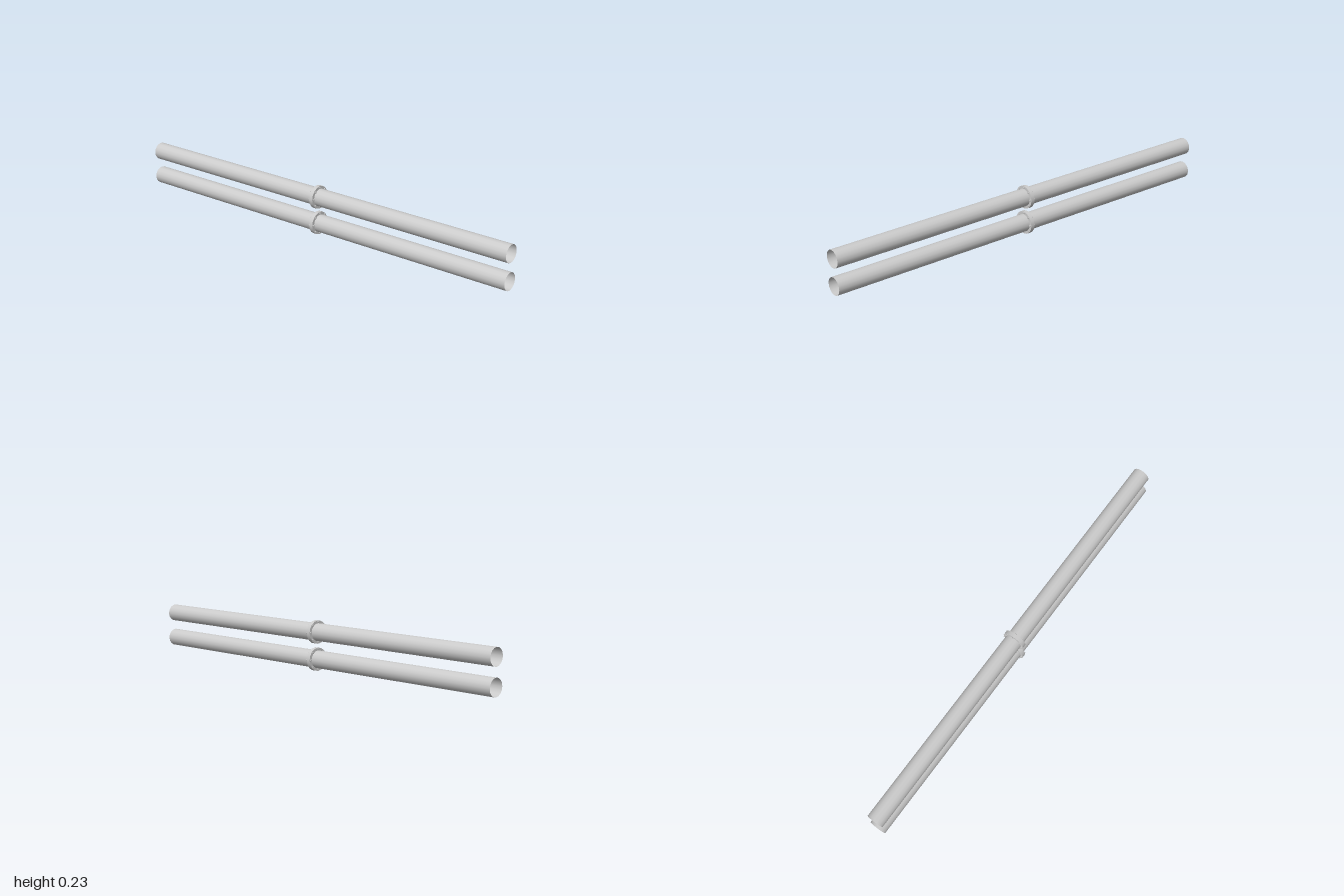
import * as THREE from 'three';
import { toCreasedNormals } from 'three/addons/utils/BufferGeometryUtils.js';

const SIDES = 16;
const PIPE_R = 0.04, FLANGE_R = 0.0525, FLANGE_HALF = 0.009;
const BOLT_RING = 0.0455, BOLT_R = 0.004, BOLT_LENGTH = 0.028;

const grey = new THREE.MeshStandardMaterial({ color: 0xcccccc });
const greyThin = new THREE.MeshStandardMaterial({ color: 0xcccccc, side: THREE.DoubleSide });

function part(name, geometry, material = grey) {
  const mesh = new THREE.Mesh(geometry, material);
  mesh.name = name;
  return mesh;
}

// One open pipe along x with a bolted flange at its middle
function pipeline(name, y) {
  const group = new THREE.Group();
  group.name = name;
  group.position.y = y;

  // Two pipe lengths meeting inside the flange
  for (const side of [-1, 1]) {
    const tube = new THREE.CylinderGeometry(PIPE_R, PIPE_R, 1, SIDES, 1, true).rotateZ(-Math.PI / 2);
    const pipe = part(side > 0 ? 'leftPipe' : 'rightPipe', tube, greyThin);
    pipe.position.x = side * 0.5;
    group.add(pipe);
  }

  // Flange collar
  const profile = [
    [PIPE_R, -FLANGE_HALF], [FLANGE_R, -FLANGE_HALF],
    [FLANGE_R, FLANGE_HALF], [PIPE_R, FLANGE_HALF],
  ].map(([r, h]) => new THREE.Vector2(r, h));
  const collar = new THREE.LatheGeometry(profile, SIDES).rotateZ(-Math.PI / 2);
  group.add(part('flange', toCreasedNormals(collar, 0.6), greyThin));

  // Bolts through the flange
  const bolt = new THREE.CylinderGeometry(BOLT_R, BOLT_R, BOLT_LENGTH, 8).rotateZ(-Math.PI / 2);
  for (let i = 0; i < 8; i++) {
    const a = (i * Math.PI) / 4;
    const mesh = part('bolt', bolt);
    mesh.position.set(0, BOLT_RING * Math.cos(a), BOLT_RING * Math.sin(a));
    group.add(mesh);
  }
  return group;
}

export function createModel() {
  const model = new THREE.Group();
  model.name = 'twinPipes';
  model.add(pipeline('lowerPipeline', FLANGE_R), pipeline('upperPipeline', FLANGE_R + 0.122));
  return model;
}
